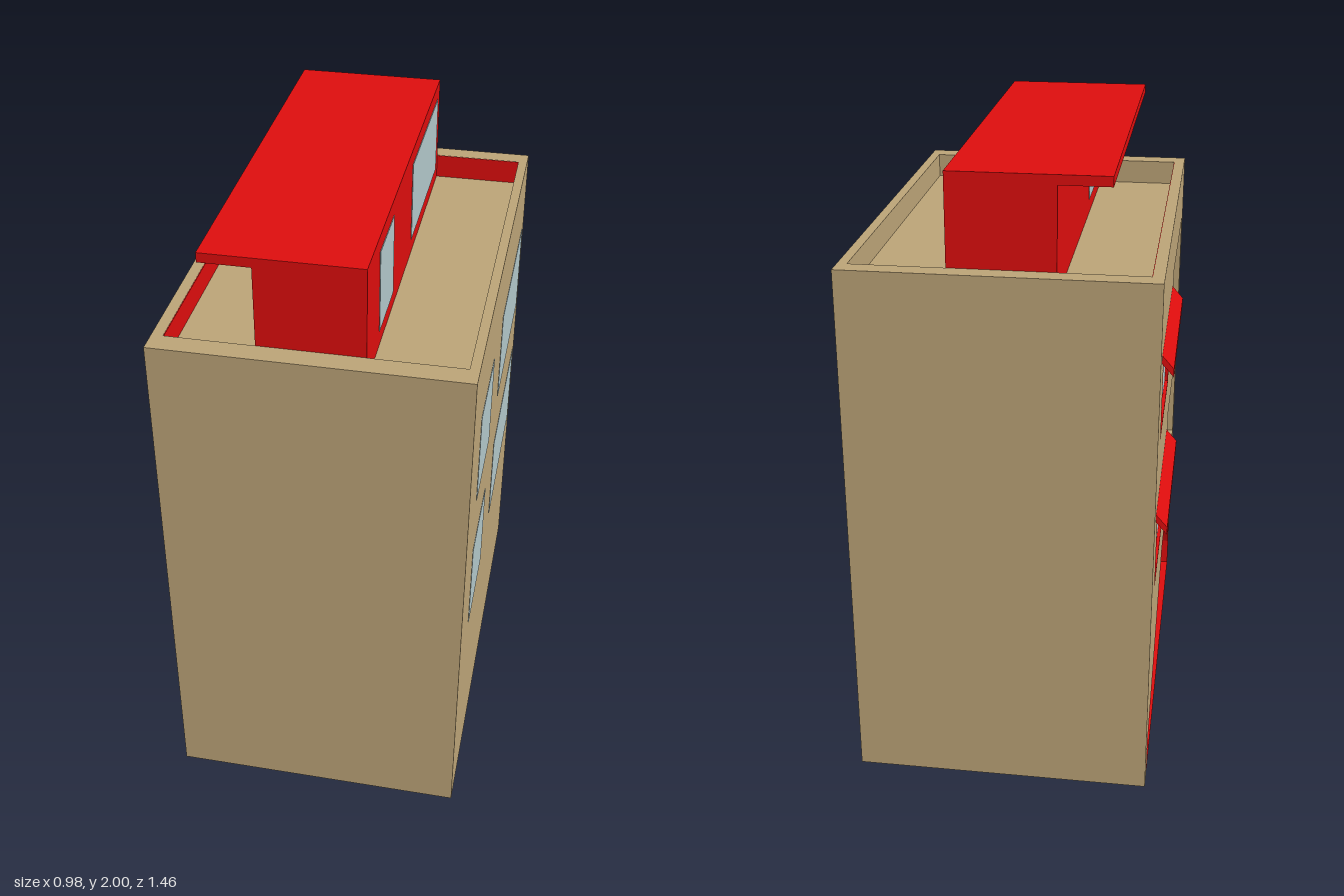
import * as THREE from 'three';

const mat = (color) => new THREE.MeshStandardMaterial({ color });
const tan = mat(0xbba377), red = mat(0xdd0d0d), glass = mat(0xb2c7ca);

export function createModel() {
  const model = new THREE.Group();

  const add = (name, geometry, material) => {
    const mesh = new THREE.Mesh(geometry, material);
    mesh.name = name;
    model.add(mesh);
    return mesh;
  };
  // box given by its limits on each axis
  const box = (name, material, [x0, x1], [y0, y1], [z0, z1]) =>
    add(name, new THREE.BoxGeometry(x1 - x0, y1 - y0, z1 - z0), material)
      .position.set((x0 + x1) / 2, (y0 + y1) / 2, (z0 + z1) / 2);

  const outline = (points) => points.map(([a, b]) => new THREE.Vector2(a, b));
  const rect = (a0, a1, b0, b1) => [[a0, b0], [a1, b0], [a1, b1], [a0, b1]];
  const plate = (points, holes, depth) => {
    const shape = new THREE.Shape(outline(points));
    shape.holes = holes.map((h) => new THREE.Path(outline(h)));
    return new THREE.ExtrudeGeometry(shape, { depth, bevelEnabled: false });
  };
  // wall drawn in (z, y), running from x = inner out to x = outer
  const wall = (name, material, points, holes, inner, outer) =>
    add(name, plate(points, holes, inner - outer).rotateY(-Math.PI / 2), material).position.x = inner;

  const X0 = -0.455, X1 = 0.487, Z = 0.73, ROOF = 1.64, TOP = 1.72, BACK = -0.325;
  const floors = [0, -0.515];

  // solid core and red underside
  box('buildingCore', tan, [BACK, X1], [0.002, ROOF], [-Z, Z]);
  const underside = add('underside', new THREE.PlaneGeometry(X1 - X0, 2 * Z), red);
  underside.rotation.x = Math.PI / 2;
  underside.position.x = (X0 + X1) / 2;

  // street wall in two layers, so the balconies sink behind their railings
  const garage = [[-0.67, 0.03], [0.676, 0.03], [0.676, 0.134], [0.52, 0.51], [-0.05, 0.51], [-0.67, 0.134]];
  const garageInner = [[-0.665, 0.034], [0.671, 0.034], [0.671, 0.133], [0.517, 0.505], [-0.047, 0.505], [-0.665, 0.133]];
  const windowHole = (dy) => rect(-0.59, -0.14, 1.185 + dy, 1.46 + dy);
  const balcony = (dy, y0) => rect(0.033, 0.676, y0 + dy, 1.51 + dy);
  const face = rect(-Z, Z, 0.002, ROOF);
  wall('innerWall', tan, face, [garage, ...floors.map((dy) => balcony(dy, 1.04))], BACK, X0 + 0.035);
  wall('outerWall', tan, face,
    [garage, ...floors.map(windowHole), ...floors.map((dy) => balcony(dy, 1.15))], X0 + 0.035, X0);

  // garage recess
  wall('garageLining', red, garage, [garageInner], X0 + 0.06, X0 - 0.001);
  wall('garageDoor', red, garage, [], X0 + 0.08, X0 + 0.06);

  for (const dy of floors) {
    // framed window, awning and balcony door on the street side
    wall('windowFrame', red, windowHole(dy),
      [rect(-0.584, -0.146, 1.191 + dy, 1.455 + dy)], X0 + 0.03, X0 - 0.001);
    wall('streetWindow', glass, windowHole(dy), [], X0 + 0.03, X0 + 0.01);
    const profile = [[X0, 1.46], [X0, 1.485], [-0.49, 1.445], [-0.49, 1.42]].map(([x, y]) => [x, y + dy]);
    add('awning', plate(profile, [], 0.62), red).position.z = -0.67;
    box('balconyDoor', glass, [BACK - 0.004, BACK + 0.004], [1.04 + dy, 1.42 + dy], [0.2, 0.53]);
    // flush windows on the other side
    for (const z of [[0.2, 0.52], [-0.67, -0.05]])
      box('sideWindow', glass, [X1 - 0.004, X1 + 0.002], [1.15 + dy, 1.46 + dy], z);
  }

  // parapet round the flat roof, two inner faces painted red
  const rim = add('parapet', plate(rect(X0, X1, -Z, Z),
    [rect(-0.42, 0.457, -0.66, 0.67)], TOP - ROOF).rotateX(-Math.PI / 2), tan);
  rim.position.y = ROOF;
  box('parapetLining', red, [-0.42, -0.418], [ROOF, TOP - 0.001], [-0.67, 0.66]);
  box('parapetLining', red, [-0.42, 0.457], [ROOF, TOP - 0.001], [-0.67, -0.668]);

  // rooftop room with an overhanging slab
  box('rooftopRoom', red, [-0.15, 0.17], [ROOF, 1.97], [-0.667, 0.66]);
  box('rooftopSlab', red, [-0.305, 0.17], [1.97, 2], [-0.667, 0.66]);
  for (const z of [[0.245, 0.47], [-0.62, -0.095]])
    box('rooftopWindow', glass, [0.166, 0.172], [1.69, 1.95], z);
  box('rooftopDoor', glass, [-0.152, -0.146], [1.69, 1.95], [0.22, 0.48]);

  return model;
}
